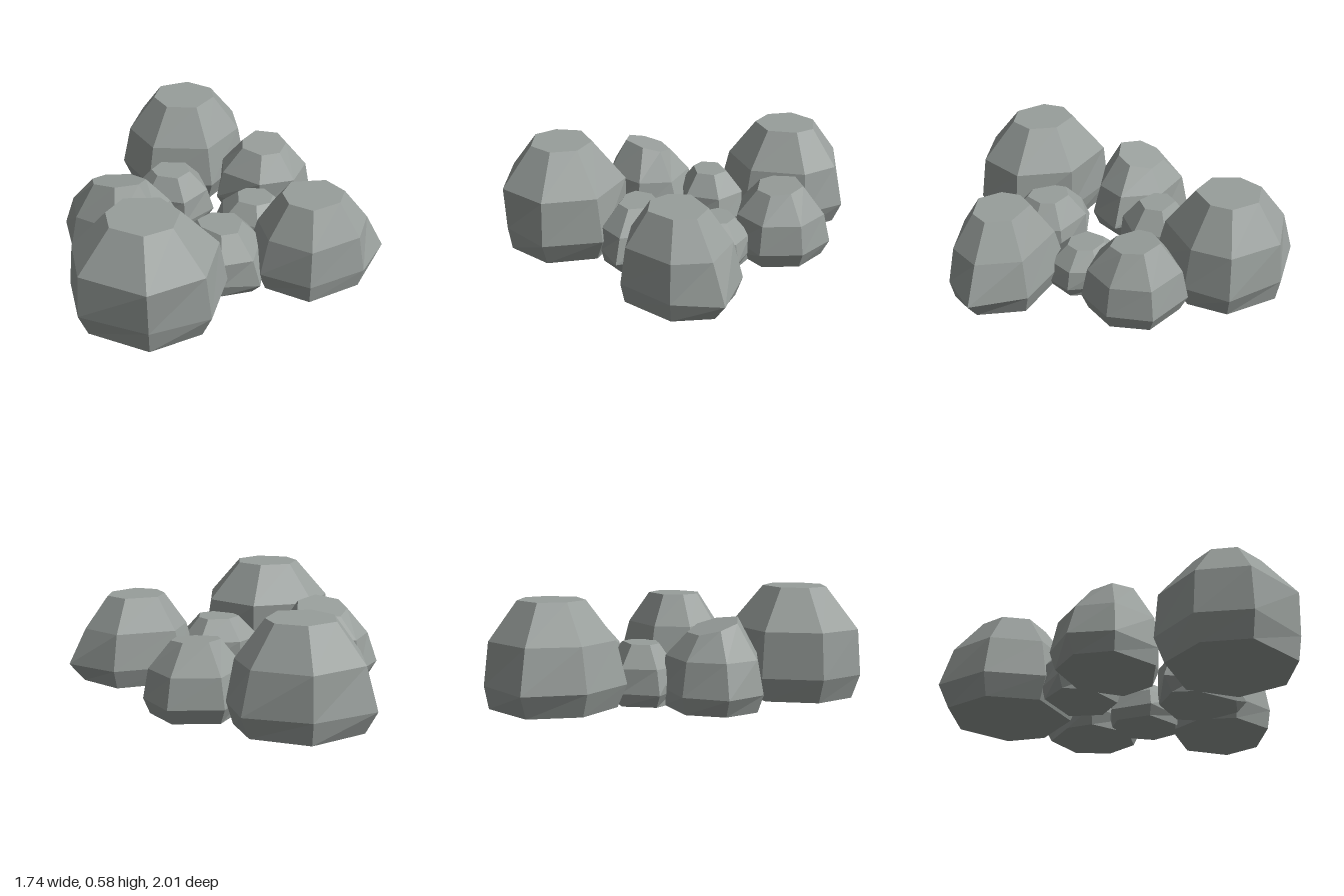
import * as THREE from 'three';

const material = new THREE.MeshStandardMaterial({ color: 0x989e9b, flatShading: true });

// Each boulder: widest outline as x, z pairs (clockwise from above), crown height,
// slope of the crown towards the front, and scale of the shoulder ring.
const boulders = [
  { name: 'frontLeftBoulder', height: 0.58, slope: 0, shoulder: 0.95,
    outline: [-0.77, 0.6, -0.6, 0.34, -0.22, 0.35, 0.03, 0.58, -0.05, 0.89, -0.35, 1, -0.7, 0.87] },
  { name: 'backBoulder', height: 0.54, slope: 0, shoulder: 0.87,
    outline: [-0.18, -1, 0.13, -0.85, 0.15, -0.6, -0.05, -0.31, -0.42, -0.33, -0.59, -0.6, -0.53, -0.91] },
  { name: 'rightBoulder', height: 0.48, slope: 0, shoulder: 0.84,
    outline: [0.64, 0.05, 0.87, 0.26, 0.74, 0.49, 0.45, 0.635, 0.2, 0.52, 0.14, 0.3, 0.25, 0.08] },
  { name: 'leftBoulder', height: 0.41, slope: 0.3, shoulder: 0.86,
    outline: [-0.71, -0.16, -0.43, -0.14, -0.2, 0.04, -0.3, 0.25, -0.56, 0.35, -0.81, 0.23, -0.87, 0.01] },
  { name: 'backRightBoulder', height: 0.38, slope: -0.1, shoulder: 0.9,
    outline: [0.16, -0.63, 0.44, -0.58, 0.53, -0.36, 0.44, -0.15, 0.22, -0.12, -0.02, -0.25, 0, -0.42] },
  { name: 'innerRightStone', height: 0.235, slope: 0, shoulder: 0.9,
    outline: [-0.02, -0.13, 0.1, -0.19, 0.3, -0.17, 0.41, -0.04, 0.37, 0.13, 0.2, 0.17, -0.02, 0.1] },
  { name: 'innerFrontStone', height: 0.32, slope: 0, shoulder: 0.9,
    outline: [-0.1, 0.17, 0.15, 0.17, 0.23, 0.32, 0.2, 0.57, 0, 0.58, -0.2, 0.42, -0.3, 0.28] },
  { name: 'innerBackStone', height: 0.305, slope: 0, shoulder: 0.9,
    outline: [-0.4, -0.36, -0.1, -0.36, -0.04, -0.15, -0.2, 0, -0.42, -0.07, -0.53, -0.2] },
];

function makeBoulder({ name, height, slope, shoulder, outline }) {
  const low = [];
  for (let i = 0; i < outline.length; i += 2) {
    low.push(new THREE.Vector3(outline[i], height * 0.22, outline[i + 1]));
  }
  const n = low.length;
  const centre = low.reduce((sum, p) => sum.add(p), new THREE.Vector3()).divideScalar(n);
  const mean = low.reduce((sum, p) => sum + p.distanceTo(centre), 0) / n;

  // A rounder, scaled copy of the outline at height y, tilted by a slope along z
  const ring = (y, scale, tilt = 0) => low.map((p) => {
    const d = p.clone().sub(centre);
    d.setLength(scale * THREE.MathUtils.lerp(d.length(), mean, 0.6));
    return new THREE.Vector3(centre.x + d.x, y + d.z * tilt, centre.z + d.z);
  });

  // Base, widest ring, shoulder and flat crown
  const base = ring(0, 0.88);
  const crown = ring(height, 0.47, slope);
  const rings = [base, low, ring(height * 0.63, shoulder), crown];
  const crownCentre = new THREE.Vector3(centre.x, height, centre.z);
  const baseCentre = new THREE.Vector3(centre.x, 0, centre.z);
  const points = [];
  const tri = (...corners) => corners.forEach((p) => points.push(p.x, p.y, p.z));
  for (let i = 0; i < n; i++) {
    const k = (i + 1) % n;
    for (let j = 0; j < rings.length - 1; j++) {
      const a = rings[j], b = rings[j + 1];
      tri(a[k], a[i], b[i]);
      tri(a[k], b[i], b[k]);
    }
    tri(crownCentre, crown[k], crown[i]);
    tri(baseCentre, base[i], base[k]);
  }

  const geometry = new THREE.BufferGeometry();
  geometry.setAttribute('position', new THREE.Float32BufferAttribute(points, 3));
  geometry.computeVertexNormals();
  const mesh = new THREE.Mesh(geometry, material);
  mesh.name = name;
  return mesh;
}

export function createModel() {
  const group = new THREE.Group();
  group.name = 'rockCluster';
  boulders.forEach((b) => group.add(makeBoulder(b)));
  return group;
}
